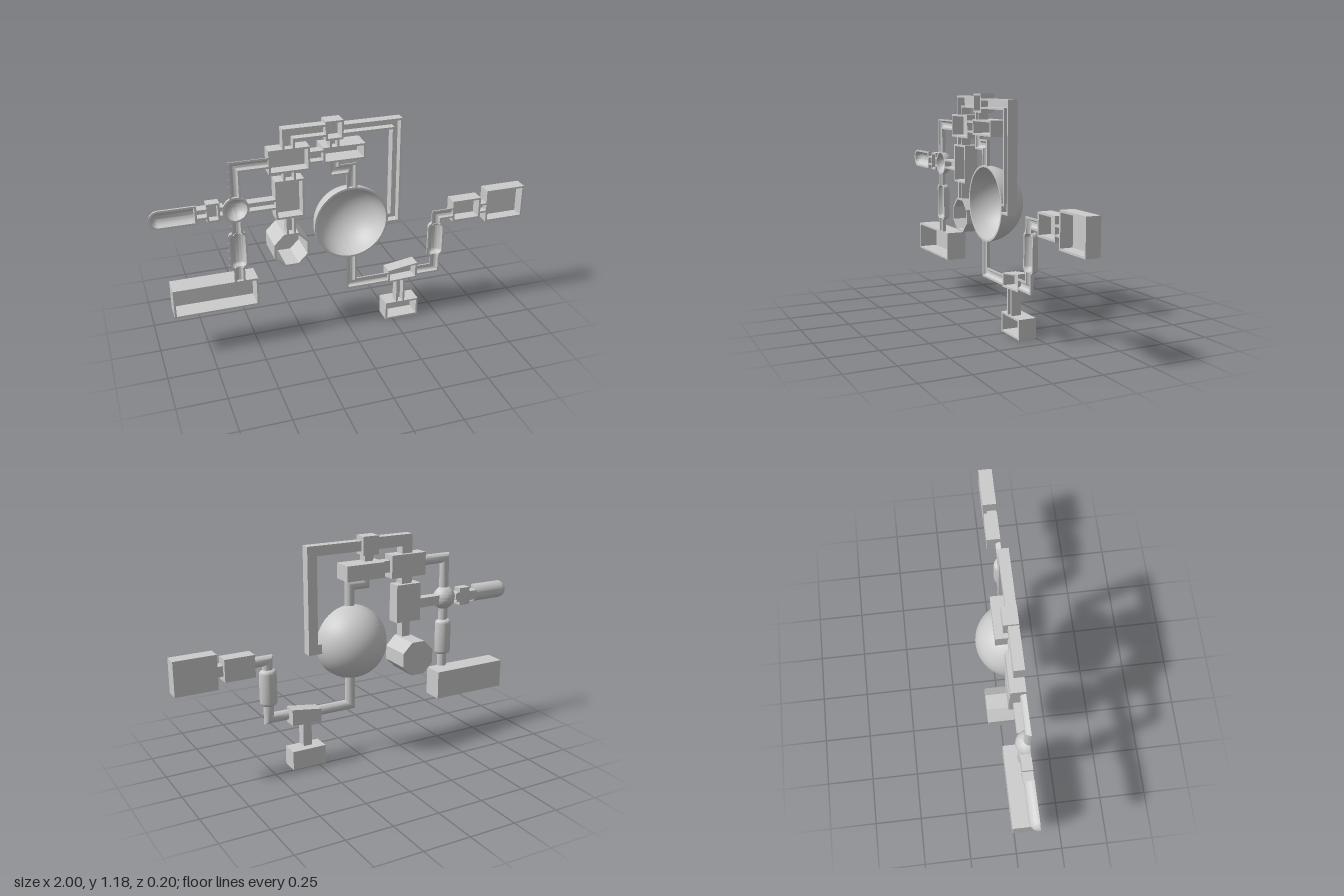
import * as THREE from 'three';
import { toCreasedNormals, mergeGeometries } from 'three/addons/utils/BufferGeometryUtils.js';

const FRONT = 0.094; // plane of the open front rim
const T = 0.01; // wall thickness
const material = new THREE.MeshStandardMaterial({ color: 0xcccccc, side: THREE.DoubleSide });
const v2 = (x, y) => new THREE.Vector2(x, y);

// Open-fronted tray: a ring of walls plus a back plate, from a convex outline
function trayGeometry(outline, back) {
  const box = new THREE.Box2().setFromPoints(outline);
  const c = box.getCenter(v2()), s = box.getSize(v2());
  const inner = outline.map(p => v2(
    c.x + (p.x - c.x) * (1 - 2 * T / s.x),
    c.y + (p.y - c.y) * (1 - 2 * T / s.y)));
  const ring = new THREE.Shape(outline);
  ring.holes.push(new THREE.Path(inner));
  const walls = new THREE.ExtrudeGeometry(ring, { depth: FRONT - back - T, bevelEnabled: false });
  walls.translate(0, 0, back + T);
  const plate = new THREE.ExtrudeGeometry(new THREE.Shape(outline), { depth: T, bevelEnabled: false });
  plate.translate(0, 0, back);
  return mergeGeometries([walls, plate]);
}

const rect = (x0, x1, y0, y1) => [v2(x0, y0), v2(x1, y0), v2(x1, y1), v2(x0, y1)];

// Sweep a closed (side, depth) profile along a flat path with mitred corners
function sweepGeometry(profile, path) {
  const pts = path.map(p => v2(...p));
  const n = profile.length, position = [], index = [];
  pts.forEach((p, i) => {
    const a = pts[Math.max(i - 1, 0)], b = pts[Math.min(i + 1, pts.length - 1)];
    const d1 = p.clone().sub(a).normalize(), d2 = b.clone().sub(p).normalize();
    if (i === 0) d1.copy(d2);
    if (i === pts.length - 1) d2.copy(d1);
    const n1 = v2(-d1.y, d1.x), mitre = n1.clone().add(v2(-d2.y, d2.x)).normalize();
    mitre.divideScalar(mitre.dot(n1));
    for (const q of profile) position.push(p.x + mitre.x * q.x, p.y + mitre.y * q.x, FRONT - q.y);
  });
  for (let i = 0; i < pts.length - 1; i++) {
    for (let j = 0; j < n; j++) {
      const a = i * n + j, b = i * n + (j + 1) % n;
      index.push(a, b, a + n, b, b + n, a + n);
    }
  }
  const g = new THREE.BufferGeometry();
  g.setAttribute('position', new THREE.Float32BufferAttribute(position, 3));
  g.setIndex(index);
  return toCreasedNormals(g, 0.6);
}

// Half-ring profile for pipes, U profile for square channels
function pipeProfile(r) {
  const out = [], inn = [];
  for (let i = 0; i <= 16; i++) {
    const a = Math.PI * i / 16;
    out.push(v2(Math.cos(a) * r, Math.sin(a) * r));
    inn.unshift(v2(Math.cos(a) * (r - T), Math.sin(a) * (r - T)));
  }
  return [...out, ...inn];
}
const channelProfile = (w, d) => [
  v2(w, 0), v2(w, d), v2(-w, d), v2(-w, 0),
  v2(T - w, 0), v2(T - w, d - T), v2(w - T, d - T), v2(w - T, 0)];

// Half of a turned shell, from its outer and inner profiles, with the cut rim closed
function halfTurned(outer, inner, segments) {
  const loop = [...outer, ...[...inner].reverse()];
  const shell = toCreasedNormals(new THREE.LatheGeometry(loop, segments, Math.PI / 2, Math.PI), 0.6);
  const rim = new THREE.ShapeGeometry(new THREE.Shape(loop)).toNonIndexed();
  const mirrored = rim.clone().rotateY(Math.PI);
  // the turned half faces away from the front, the rim lies in the cut plane
  return mergeGeometries([shell, rim, mirrored]);
}
const arc = (r, n, from = -Math.PI / 2, to = Math.PI / 2, cx = 0, cy = 0) =>
  Array.from({ length: n + 1 }, (_, i) => {
    const a = from + (to - from) * i / n;
    return v2(Math.max(0, cx + Math.cos(a) * r), cy + Math.sin(a) * r);
  });
const halfBall = r => halfTurned(arc(r, 32), arc(r - T, 32), 32);

// Sleeve around a pipe with rounded shoulders
function halfSleeve(r, length) {
  const f = 0.02, profile = (rad, h) => [
    v2(0.022, -h),
    ...arc(f, 5, -Math.PI / 2, 0, rad - f, f - h),
    ...arc(f, 5, 0, Math.PI / 2, rad - f, h - f),
    v2(0.022, h)];
  return halfTurned(profile(r, length / 2), profile(r - T, length / 2 - T), 20);
}
// Grip with one flat and one round end
function halfGrip(r, length) {
  const profile = (rad, y0) => [
    v2(0, y0), v2(rad, y0), ...arc(rad, 12, 0, Math.PI / 2, 0, length - r)];
  return halfTurned(profile(r, 0), profile(r - T, T), 20);
}

export function createModel() {
  const group = new THREE.Group();
  const add = (name, geometry, x = 0, y = 0, z = 0) => {
    const mesh = new THREE.Mesh(geometry, material);
    mesh.name = name;
    mesh.position.set(x, y, z);
    group.add(mesh);
    return mesh;
  };

  // Rectangular trays: name, x range, y range, back depth
  for (const [name, x0, x1, y0, y1, back] of [
    ['longTray', -0.92, -0.487, 0.235, 0.39, -0.018],
    ['footTray', 0.21, 0.397, 0, 0.102, 0],
    ['innerArmTray', 0.58, 0.74, 0.54, 0.657, 0.02],
    ['outerArmTray', 0.775, 0.995, 0.51, 0.69, 0.02],
    ['topTray', -0.123, -0.032, 1.085, 1.183, 0.02],
    ['neckTray', -0.136, 0.083, 0.968, 1.05, -0.018],
    ['shoulderTray', -0.41, -0.203, 0.945, 1.068, 0.02],
    ['uprightTray', -0.382, -0.235, 0.70, 0.905, 0.02],
    ['gripCollar', -0.722, -0.658, 0.738, 0.835, 0.042],
  ]) add(name, trayGeometry(rect(x0, x1, y0, y1), back));

  // Tapered junction and octagonal cup
  add('taperedTray', trayGeometry(
    [v2(0.22, 0.23), v2(0.385, 0.237), v2(0.385, 0.325), v2(0.22, 0.302)], 0.022));
  const octagon = Array.from({ length: 8 }, (_, i) => {
    const a = (i + 0.5) * Math.PI / 4, r = 0.091 / Math.cos(Math.PI / 8);
    return v2(-0.307 + Math.cos(a) * r, 0.522 + Math.sin(a) * r);
  });
  add('octagonalCup', trayGeometry(octagon, -0.082));

  // Square channels: name, half width, path
  for (const [name, w, ...path] of [
    ['frameLeg', 0.031, [-0.308, 1.066], [-0.308, 1.138], [-0.123, 1.138]],
    ['frameBar', 0.026, [-0.032, 1.132], [0.249, 1.132], [0.249, 0.62], [0.2, 0.62]],
    ['topLink', 0.024, [-0.077, 1.087], [-0.077, 1.048]],
    ['shoulderLink', 0.031, [-0.205, 1.008], [-0.134, 1.008]],
    ['uprightLink', 0.031, [-0.308, 0.947], [-0.308, 0.903]],
    ['cupStem', 0.024, [-0.307, 0.702], [-0.307, 0.61]],
    ['ballLink', 0.026, [-0.52, 0.785], [-0.38, 0.785]],
    ['collarLink', 0.026, [-0.66, 0.785], [-0.638, 0.785]],
    ['gripLink', 0.026, [-0.772, 0.785], [-0.72, 0.785]],
    ['footStem', 0.024, [0.293, 0.1], [0.293, 0.237]],
    ['armLink', 0.027, [0.738, 0.593], [0.777, 0.593]],
  ]) add(name, sweepGeometry(channelProfile(w, 0.052), path));

  // Half-round pipes with mitred elbows
  for (const [name, ...path] of [
    ['neckPipe', [0.012, 0.81], [0.012, 0.924], [-0.077, 0.924], [-0.077, 0.97]],
    ['lowerPipe', [0.012, 0.436], [0.012, 0.265], [0.222, 0.265]],
    ['lowerArmPipe', [0.383, 0.278], [0.487, 0.278], [0.487, 0.352]],
    ['upperArmPipe', [0.487, 0.543], [0.487, 0.592], [0.582, 0.592]],
    ['shoulderPipe', [-0.58, 0.842], [-0.58, 1.007], [-0.408, 1.007]],
    ['ballPipe', [-0.58, 0.724], [-0.58, 0.658]],
    ['trayPipe', [-0.58, 0.462], [-0.58, 0.388]],
  ]) add(name, sweepGeometry(pipeProfile(0.028), path));

  // Round shells
  add('mainBowl', halfBall(0.197), 0.012, 0.623, FRONT);
  add('jointBall', halfBall(0.066), -0.58, 0.785, FRONT);
  add('leftSleeve', halfSleeve(0.047, 0.195), 0.487, 0.448, FRONT);
  add('rightSleeve', halfSleeve(0.048, 0.2), -0.58, 0.56, FRONT);
  add('grip', halfGrip(0.049, 0.23), -0.77, 0.786, FRONT).rotation.z = Math.PI / 2;

  return group;
}
